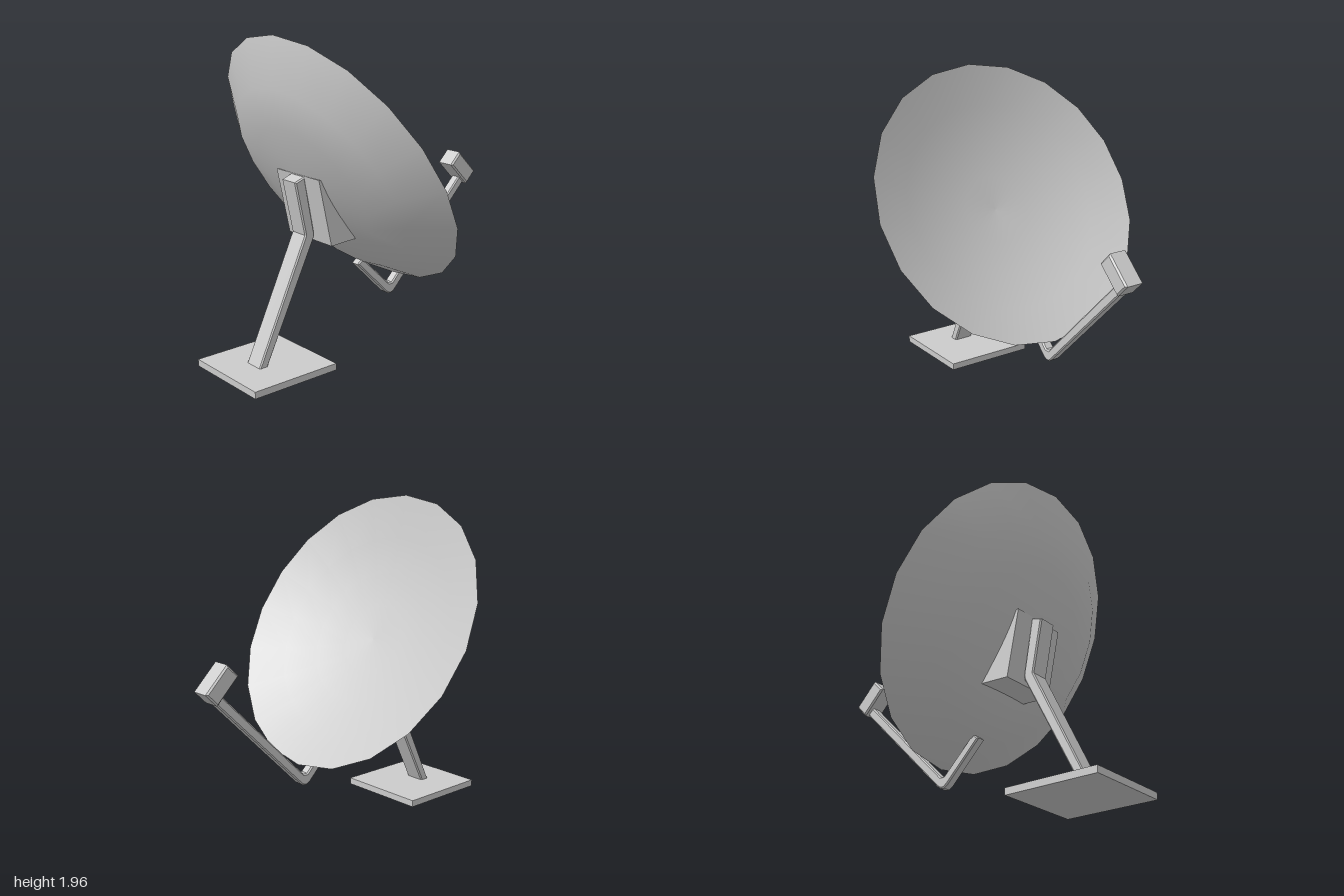
import * as THREE from 'three';

const grey = new THREE.MeshStandardMaterial({ color: 0xcccccc });
const greyBothSides = new THREE.MeshStandardMaterial({ color: 0xcccccc, side: THREE.DoubleSide });

// Side profile in x/y, extruded symmetrically about z = 0 with small bevelled edges
function profilePart(name, points, width, bevel = 0.008) {
  const shape = new THREE.Shape(points.map(([x, y]) => new THREE.Vector2(x, y)));
  const geometry = new THREE.ExtrudeGeometry(shape, {
    depth: width - 2 * bevel,
    bevelEnabled: bevel > 0,
    bevelSize: bevel,
    bevelThickness: bevel,
    bevelOffset: -bevel,
    bevelSegments: 1,
  });
  geometry.translate(0, 0, bevel - width / 2);
  const mesh = new THREE.Mesh(geometry, grey);
  mesh.name = name;
  return mesh;
}

// Thick bowl opening along +y: a reflector and a back shell meeting at a sharp rim
function makeDish() {
  const rim = 0.915, curve = 0.24, thickness = 0.074;
  const bowl = (r) => curve * (r * r - rim * rim);
  const inner = [0, 0.22, 0.44, 0.67, rim].map((r) => new THREE.Vector2(r, bowl(r)));
  const outer = [0, 0.2, 0.435, 0.667].map((r) => new THREE.Vector2(r, bowl(r) - thickness));
  outer.push(new THREE.Vector2(rim, 0));

  const dish = new THREE.Group();
  dish.name = 'dish';
  for (const [name, profile] of [['reflector', inner], ['backShell', outer]]) {
    const shell = new THREE.Mesh(new THREE.LatheGeometry(profile, 20), greyBothSides);
    shell.name = name;
    dish.add(shell);
  }
  dish.rotation.z = -Math.PI / 3;
  dish.position.set(-0.16, 1.169, 0);
  return dish;
}

export function createModel() {
  const model = new THREE.Group();
  model.name = 'satelliteDish';

  // Square foot plate
  const base = new THREE.Mesh(new THREE.BoxGeometry(0.585, 0.042, 0.585), grey);
  base.name = 'basePlate';
  base.position.set(-0.7075, 0.021, 0);
  model.add(base);

  // Leaning post, bent back near the top
  model.add(profilePart('post', [
    [-0.815, 0.02], [-0.755, 0.02], [-0.39, 0.76], [-0.388, 0.79],
    [-0.455, 1.14], [-0.525, 1.115], [-0.455, 0.785],
  ], 0.13));

  // Wedge bracket, its front buried in the thickness of the dish
  model.add(profilePart('mountBracket', [
    [-0.46, 1.145], [-0.37, 0.735], [-0.17, 0.745], [-0.298, 0.94], [-0.418, 1.138],
  ], 0.4, 0));

  model.add(makeDish());

  // Feed arm, hooked under the lower rim
  model.add(profilePart('feedArm', [
    [-0.018, 0.5], [0.222, 0.262], [0.25, 0.244], [0.278, 0.246], [0.3, 0.262],
    [0.935, 0.897], [0.893, 0.939], [0.275, 0.317], [0.248, 0.317], [0.025, 0.532],
  ], 0.064));

  // Receiver block at the end of the arm
  model.add(profilePart('receiver', [
    [0.773, 1.023], [0.923, 0.873], [1.0, 0.95], [0.85, 1.1],
  ], 0.126, 0.01));

  return model;
}
